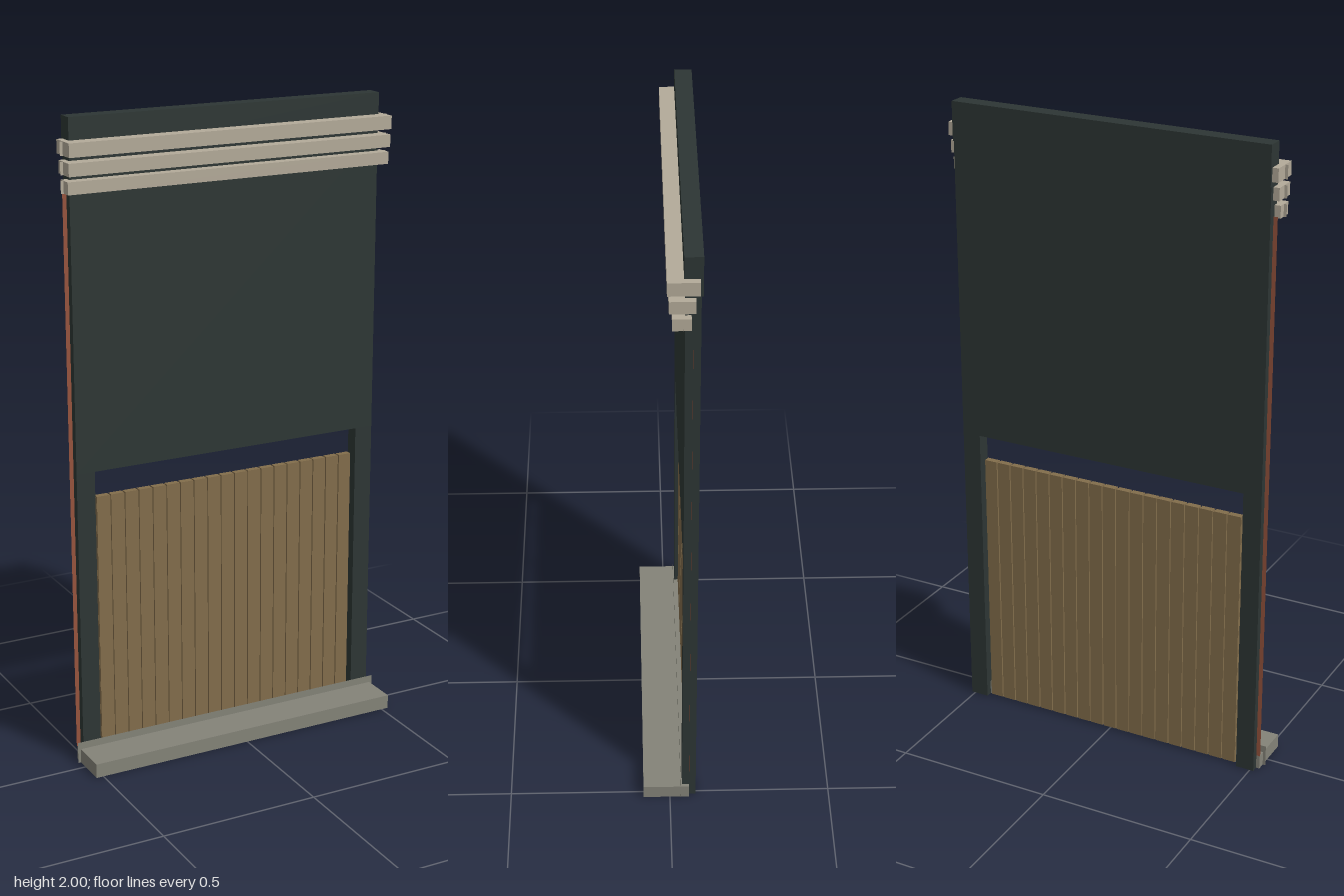
import * as THREE from 'three';

const paint = (name, color, side = THREE.FrontSide) => {
  const m = new THREE.MeshStandardMaterial({ color, side });
  m.name = name;
  return m;
};

export function createModel() {
  const model = new THREE.Group();
  model.name = 'shopfrontBay';
  const dark = paint('darkFramePaint', 0x2d3634);
  const wood = paint('brownWood', 0x826d4b);
  const cream = paint('paleStone', 0xb3aa99, THREE.DoubleSide);
  const grey = paint('greyStone', 0x848378, THREE.DoubleSide);
  const brick = paint('brickRed', 0x96533d, THREE.DoubleSide);

  // Box given by its extents on each axis
  const box = (name, mat, [x0, x1], [y0, y1], [z0, z1], parent = model) => {
    const mesh = new THREE.Mesh(new THREE.BoxGeometry(x1 - x0, y1 - y0, z1 - z0), mat);
    mesh.position.set((x0 + x1) / 2, (y0 + y1) / 2, (z0 + z1) / 2);
    mesh.name = name;
    parent.add(mesh);
  };
  // Upright sheet facing the front
  const sheet = (name, mat, [x0, x1], [y0, y1], z) => {
    const mesh = new THREE.Mesh(new THREE.PlaneGeometry(x1 - x0, y1 - y0), mat);
    mesh.position.set((x0 + x1) / 2, (y0 + y1) / 2, z);
    mesh.name = name;
    model.add(mesh);
  };

  // Frame: top beam, solid upper panel and two legs
  box('topBeam', dark, [-0.512, 0.512], [1.88, 2], [-0.086, -0.035]);
  box('upperPanel', dark, [-0.512, 0.512], [0.94, 1.88], [-0.081, -0.038]);
  for (const s of [-1, 1]) {
    const xs = [s * 0.453, s * 0.512].sort((a, b) => a - b);
    box(s > 0 ? 'leftLeg' : 'rightLeg', dark, xs, [0, 0.94], [-0.081, -0.038]);
    const edge = [s * 0.512, s * 0.525].sort((a, b) => a - b);
    sheet('brickEdge', brick, edge, [0.045, 1.79], -0.06);
  }

  // Boarded lower door with narrow grooves
  const door = new THREE.Group();
  door.name = 'boardedDoor';
  model.add(door);
  const count = 19, pitch = 0.89 / count;
  box('doorBacking', wood, [-0.443, 0.443], [0.005, 0.85], [-0.064, -0.056], door);
  for (let i = 0; i < count; i++) {
    const x = -0.445 + (i + 0.5) * pitch;
    box('doorBoard', wood, [x - 0.021, x + 0.021], [0.005, 0.855], [-0.07, -0.05], door);
  }

  // Three stepped cornice mouldings, each with a slightly wider backing strip
  const mouldings = [
    [1.893, 1.934, -0.078, 0.01],
    [1.838, 1.876, -0.067, 0.005],
    [1.785, 1.822, -0.055, -0.004],
  ];
  for (const [y0, y1, z0, z1] of mouldings) {
    box('corniceMoulding', cream, [-0.531, 0.531], [y0, y1], [z0, z1]);
    sheet('corniceStrip', cream, [-0.54, 0.54], [y0, y1], -0.034);
  }

  // Doorstep with an upright lip
  box('doorstep', grey, [-0.523, 0.523], [0, 0.045], [-0.06, 0.083]);
  sheet('doorstepLip', grey, [-0.532, 0.532], [0, 0.068], -0.034);

  return model;
}
